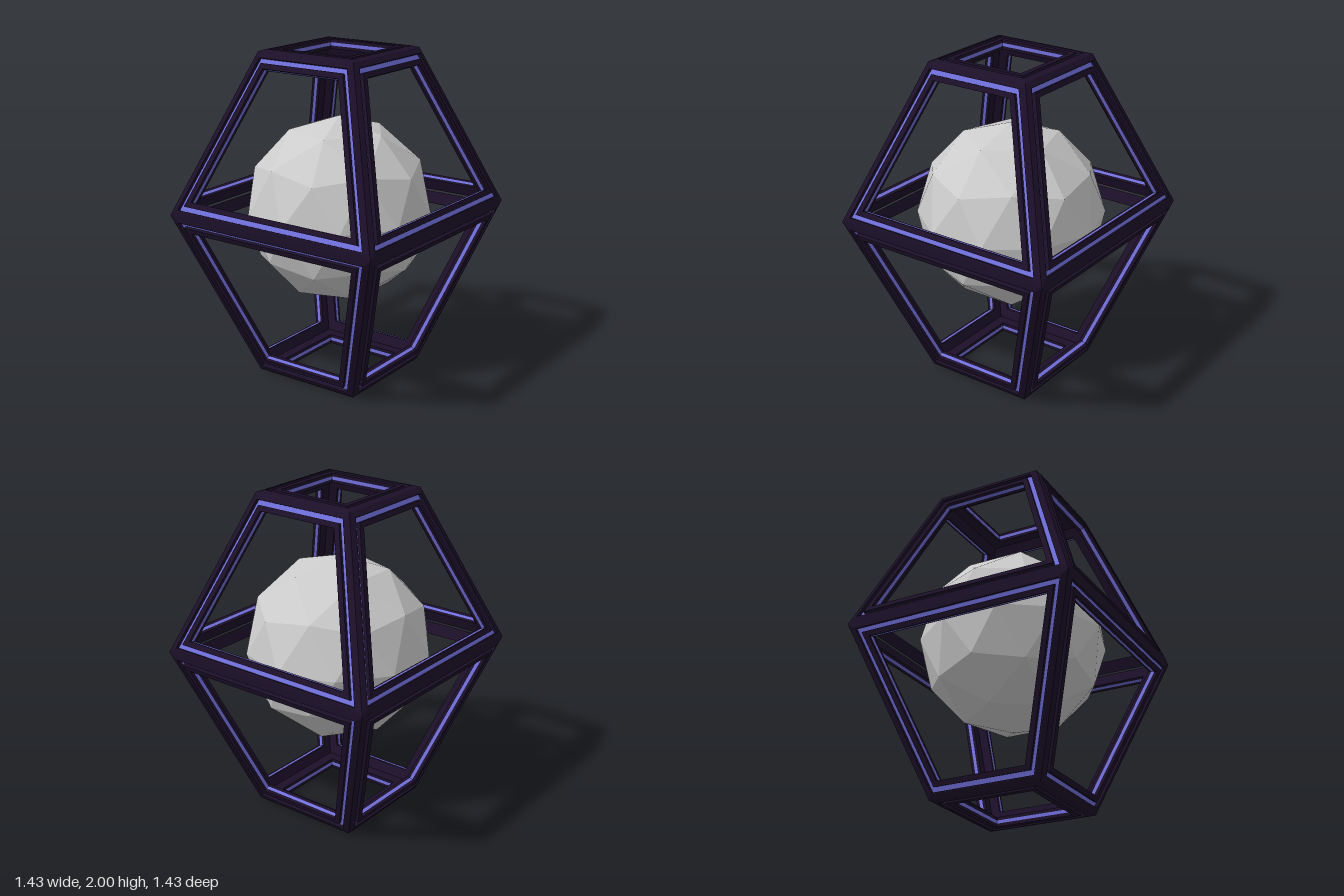
import * as THREE from 'three';

const darkMat = new THREE.MeshStandardMaterial({ color: 0x1c1029 });
const stripeMat = new THREE.MeshStandardMaterial({ color: 0x7070dd });
const greyMat = new THREE.MeshStandardMaterial({ color: 0xcccccc, flatShading: true });

// Frame cross-section as [distance in from the face edge, height above the face]
const darkProfiles = [
  [[0, 0], [0.03, 0.01], [0.039, 0.01], [0.039, -0.01]],
  [[0.067, -0.01], [0.067, 0.01], [0.1, 0.01], [0.1, -0.01]],
  [[0.1, -0.03], [0.1, -0.05], [0.025, -0.05]],
];
const stripeProfiles = [
  [[0.039, -0.01], [0.067, -0.01]],
  [[0.1, -0.01], [0.1, -0.03]],
];

// Square ring of corners, counter-clockwise seen from above
function ring(half, y) {
  return [[1, 1], [1, -1], [-1, -1], [-1, 1]].map(([x, z]) => new THREE.Vector3(x * half, y, z * half));
}

// Polygon moved inwards by t with mitred corners, and raised by h
function inset(poly, normal, t, h) {
  return poly.map((v, i) => {
    const n = poly.length;
    const a = poly[(i + n - 1) % n].clone().sub(v).normalize();
    const b = poly[(i + 1) % n].clone().sub(v).normalize();
    const sin = a.clone().cross(b).length();
    return v.clone().addScaledVector(a.add(b), t / sin).addScaledVector(normal, h);
  });
}

// Sweep profiles round a polygon
function frame(poly, profiles, material, name) {
  const normal = poly[1].clone().sub(poly[0]).cross(poly[2].clone().sub(poly[0])).normalize();
  const points = [];
  for (const profile of profiles) {
    const loops = profile.map(([t, h]) => inset(poly, normal, t, h));
    for (let k = 0; k + 1 < loops.length; k++) {
      for (let i = 0; i < poly.length; i++) {
        const j = (i + 1) % poly.length;
        const a = loops[k][i], b = loops[k][j], c = loops[k + 1][j], d = loops[k + 1][i];
        points.push(a, b, c, a, c, d);
      }
    }
  }
  const geometry = new THREE.BufferGeometry().setFromPoints(points);
  geometry.computeVertexNormals();
  const mesh = new THREE.Mesh(geometry, material);
  mesh.name = name;
  return mesh;
}

export function createModel() {
  const model = new THREE.Group();
  model.name = 'cagedCrystal';

  // Faces of the cage
  const bottom = ring(0.35, 0.01), middle = ring(0.715, 1.032), top = ring(0.335, 1.99);
  const faces = { topFrame: top, bottomFrame: [...bottom].reverse() };
  ['left', 'back', 'right', 'front'].forEach((side, i) => {
    const j = (i + 1) % 4;
    faces[side + 'UpperFrame'] = [middle[i], middle[j], top[j], top[i]];
    faces[side + 'LowerFrame'] = [bottom[i], bottom[j], middle[j], middle[i]];
  });
  for (const [name, poly] of Object.entries(faces)) {
    const part = new THREE.Group();
    part.name = name;
    part.add(frame(poly, darkProfiles, darkMat, 'darkBars'));
    part.add(frame(poly, stripeProfiles, stripeMat, 'inlaidStripes'));
    model.add(part);
  }

  // Faceted core, turned so that a five-sided corner points up
  const core = new THREE.Mesh(new THREE.IcosahedronGeometry(0.567, 1), greyMat);
  core.geometry.rotateZ(-Math.atan(2 / (1 + Math.sqrt(5))));
  core.position.y = 1.033;
  core.name = 'core';
  model.add(core);
  return model;
}
